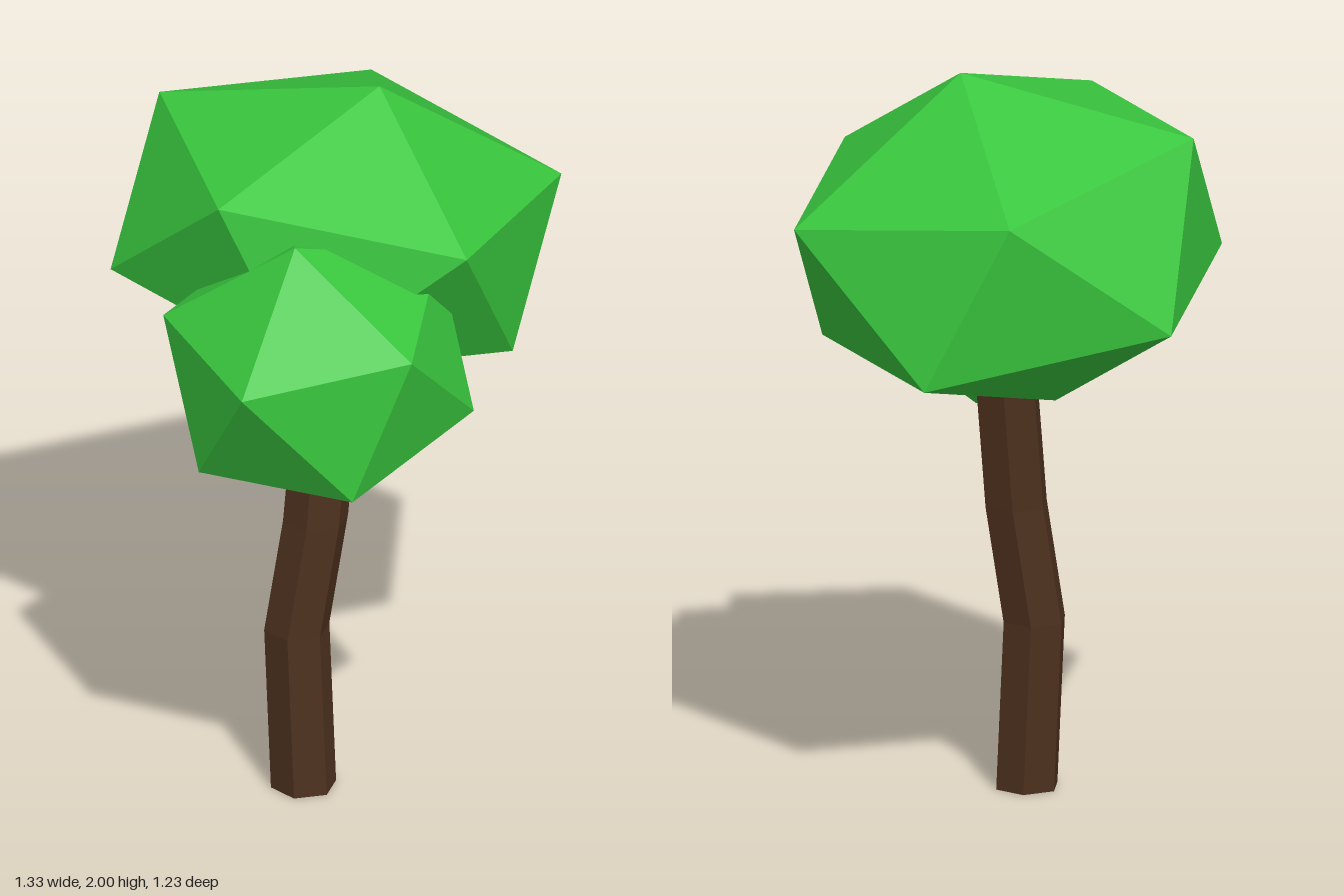
import * as THREE from 'three';

const V = (x, y, z) => new THREE.Vector3(x, y, z);

// Icosahedron stretched and tilted so that one of its faces has the corners a, b, c
function foliage(name, center, a, b, c, material) {
  const t = (1 + Math.sqrt(5)) / 2;
  const [p, q, r] = [a, b, c].map((v) => v.clone().sub(center));
  const xAxis = r.clone().sub(p).divideScalar(2);
  const yAxis = r.clone().add(p).divideScalar(2 * t);
  const zAxis = q.clone().sub(yAxis).divideScalar(t);
  const geometry = new THREE.IcosahedronGeometry(Math.sqrt(1 + t * t), 0);
  geometry.applyMatrix4(new THREE.Matrix4().makeBasis(xAxis, yAxis, zAxis).setPosition(center));
  geometry.computeVertexNormals();
  const mesh = new THREE.Mesh(geometry, material);
  mesh.name = name;
  return mesh;
}

// Six-sided post whose rings follow the given centres, bottom to top
function bentTrunk(centers, radius, material) {
  const n = centers.length - 1;
  const turn = THREE.MathUtils.degToRad(36.5);
  const geometry = new THREE.CylinderGeometry(radius, radius, 1, 6, n, false, turn);
  const pos = geometry.attributes.position;
  for (let i = 0; i < pos.count; i++) {
    const c = centers[Math.round((pos.getY(i) + 0.5) * n)];
    pos.setXYZ(i, pos.getX(i) + c.x, c.y, pos.getZ(i) + c.z);
  }
  geometry.computeVertexNormals();
  const mesh = new THREE.Mesh(geometry, material);
  mesh.name = 'trunk';
  return mesh;
}

export function createModel() {
  const leaf = new THREE.MeshStandardMaterial({ color: 0x39c63e, flatShading: true });
  const bark = new THREE.MeshStandardMaterial({ color: 0x4d311e, flatShading: true });
  const tree = new THREE.Group();
  tree.name = 'tree';

  tree.add(bentTrunk(
    [V(0.035, 0, 0.103), V(0.015, 0.46, 0.11), V(0.04, 0.78, 0.067), V(0.045, 1.36, 0.01)],
    0.088, bark));

  // Large crown, and the smaller clump at its front left
  tree.add(foliage('largeCrown', V(-0.065, 1.565, -0.08),
    V(0.058, 2.0, -0.13), V(0.116, 1.84, 0.445), V(0.54, 1.71, -0.052), leaf));
  tree.add(foliage('smallCrown', V(0.265, 1.38, 0.228),
    V(0.29, 1.76, 0.325), V(0.435, 1.455, 0.61), V(0.663, 1.54, 0.223), leaf));

  return tree;
}
